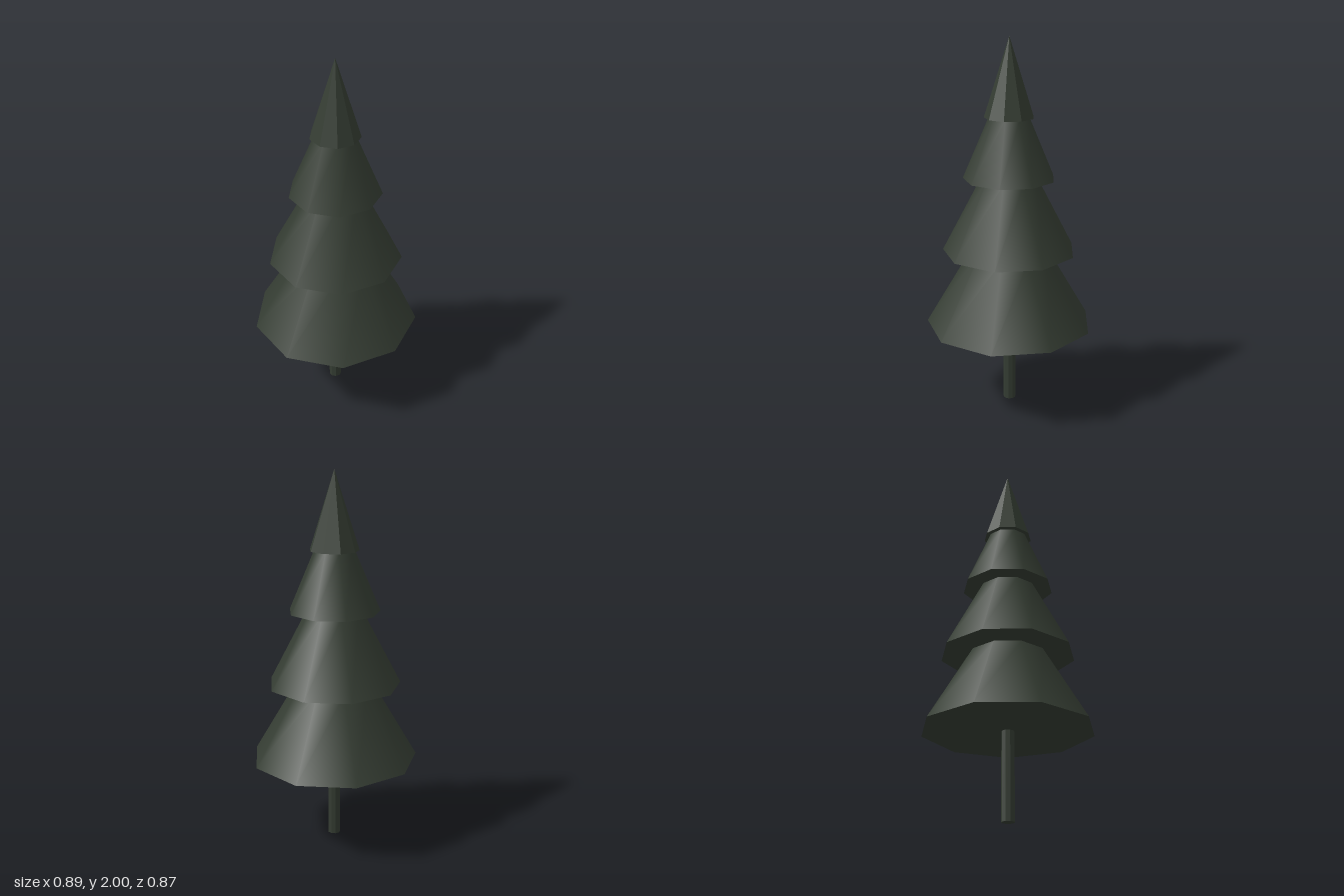
import * as THREE from 'three';

const SIDES = 9;
const AXIS_Z = 0.012;

export function createModel() {
  const tree = new THREE.Group();
  tree.name = 'pineTree';

  const darkGreen = new THREE.MeshStandardMaterial({ color: 0x343c32 });
  darkGreen.name = 'darkGreen';

  // Nine-sided section between two heights, with one corner pointing to the back
  function addSection(name, y0, y1, bottomRadius, topRadius, faceted) {
    let geometry = new THREE.CylinderGeometry(
      topRadius, bottomRadius, y1 - y0, SIDES, 1, false, Math.PI);
    if (faceted) {
      geometry = geometry.toNonIndexed();
      geometry.computeVertexNormals();
    }
    const mesh = new THREE.Mesh(geometry, darkGreen);
    mesh.name = name;
    mesh.position.set(0, (y0 + y1) / 2, AXIS_Z);
    tree.add(mesh);
  }

  // Trunk
  addSection('trunk', 0, 0.47, 0.034, 0.034, true);

  // Smooth branch tiers, narrowing upwards
  addSection('lowerBranches', 0.46, 0.875, 0.451, 0.207, false);
  addSection('middleBranches', 0.875, 1.27, 0.357, 0.15, false);
  addSection('upperBranches', 1.27, 1.59, 0.244, 0.107, false);

  // Faceted pointed top
  addSection('treeTip', 1.59, 2, 0.131, 0, true);

  return tree;
}
